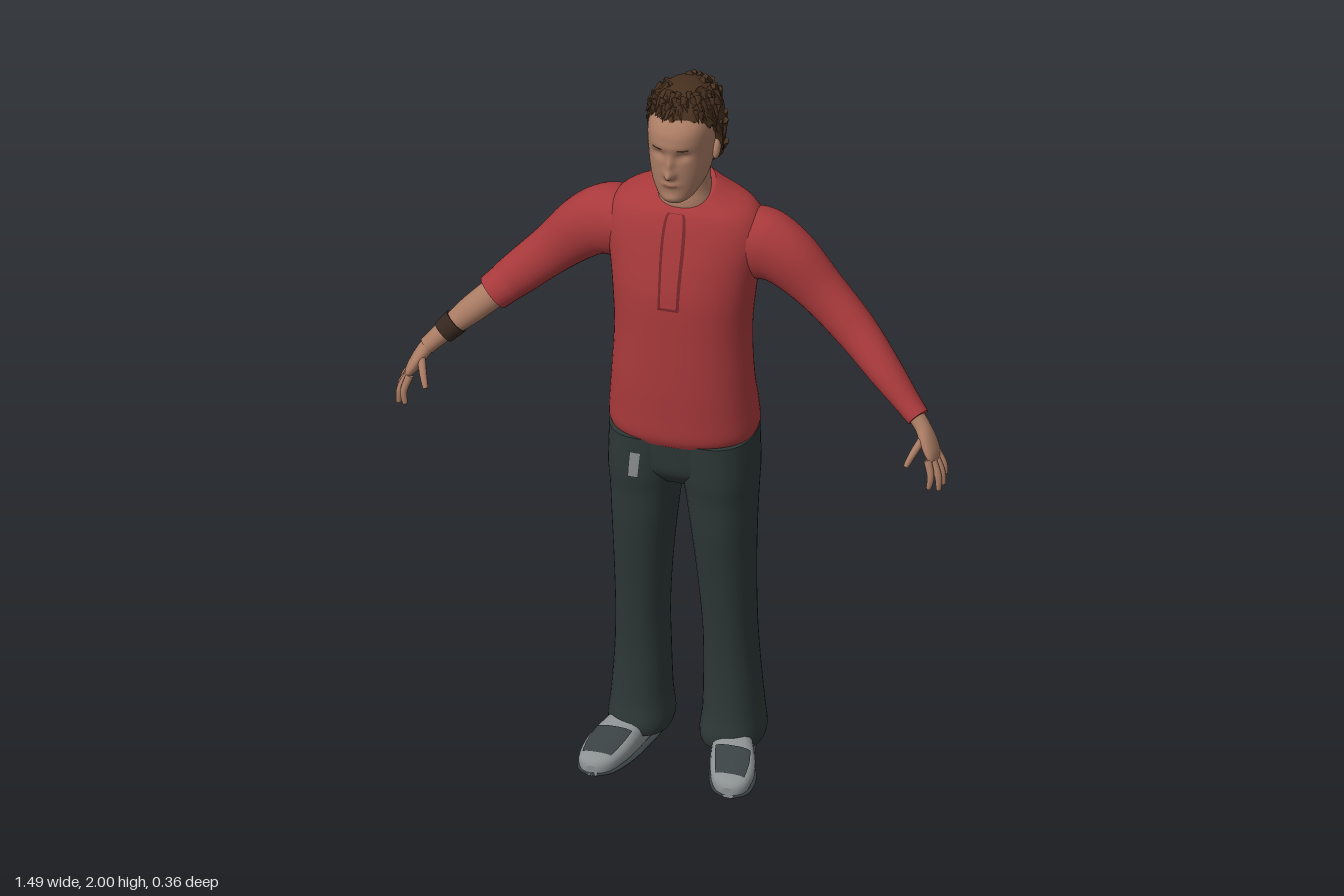
import * as THREE from 'three';
import { mergeGeometries } from 'three/addons/utils/BufferGeometryUtils.js';

const V = (x, y, z) => new THREE.Vector3(x, y, z);
const paint = (name, color) => {
  const m = new THREE.MeshStandardMaterial({ color });
  m.name = name;
  m.side = THREE.DoubleSide;
  return m;
};

// smooth interpolation of number rows at index t
function at(rows, t) {
  const last = rows.length - 1, i = Math.min(Math.floor(t), last - 1), f = t - i;
  const [a, b, c, d] = [rows[Math.max(i - 1, 0)], rows[i], rows[i + 1], rows[Math.min(i + 2, last)]];
  return b.map((p, k) => p + 0.5 * f * (c[k] - a[k] + f * (2 * a[k] - 5 * p + 4 * c[k] - d[k] + f * (3 * (p - c[k]) + d[k] - a[k]))));
}

// index at which the first column reaches a value
function find(rows, value) {
  for (let i = 0; i < rows.length - 1; i++) {
    const a = rows[i][0], b = rows[i + 1][0];
    if ((value - a) * (value - b) <= 0) return i + (value - a) / (b - a);
  }
  return value < rows[0][0] ? 0 : rows.length - 1;
}

// surface over rings of points: closed rings get caps, open ones stay a thin plate
function surface(point, rings, seg, closed = true) {
  const pos = [], idx = [], w = closed ? seg : seg + 1;
  for (let i = 0; i <= rings; i++) for (let j = 0; j < w; j++) pos.push(...point(i / rings, j / seg).toArray());
  for (let i = 0; i < rings; i++) for (let j = 0; j < seg; j++) {
    const a = i * w + j, b = i * w + (j + 1) % w;
    idx.push(a, b, b + w, a, b + w, a + w);
  }
  if (closed) for (const end of [0, 1]) {
    const base = pos.length / 3, mid = V(0, 0, 0);
    for (let j = 0; j < seg; j++) {
      const p = point(end, j / seg);
      pos.push(...p.toArray());
      mid.addScaledVector(p, 1 / seg);
    }
    pos.push(...mid.toArray());
    for (let j = 0; j < seg; j++) {
      const k = base + (j + 1) % seg;
      idx.push(base + seg, end ? base + j : k, end ? k : base + j);
    }
  }
  const g = new THREE.BufferGeometry();
  g.setAttribute('position', new THREE.Float32BufferAttribute(pos, 3));
  g.setIndex(idx);
  g.computeVertexNormals();
  return g;
}

const squircle = (a, n) => Math.pow(Math.abs(Math.cos(a)) ** n + Math.abs(Math.sin(a)) ** n, -1 / n);

// upright body part; rows are [y, xMin, xMax, zFront, zBack, backward rise]
function body(rows, { n = 2.3, seg = 40, lo, hi, angles, grow = 0, step = 5 } = {}) {
  const t0 = lo === undefined ? 0 : find(rows, lo), t1 = hi === undefined ? rows.length - 1 : find(rows, hi);
  const [a0, a1] = angles || [0, Math.PI * 2];
  return surface((u, v) => {
    const [y, x0, x1, zf, zb, rise = 0] = at(rows, t0 + (t1 - t0) * u);
    const a = a0 + (a1 - a0) * v, r = squircle(a, n), c = Math.cos(a) * r, s = Math.sin(a) * r;
    return V((x0 + x1) / 2 + s * ((x1 - x0) / 2 + grow), y - c * rise, (zf + zb) / 2 + c * ((zf - zb) / 2 + grow));
  }, angles ? 16 : Math.ceil((t1 - t0) * step), angles ? 10 : seg, !angles);
}

// limb along a path; rows are [x, y, z, thickness, width]
function limb(rows, side = 1, seg = 20) {
  const end = rows.length - 1;
  return surface((u, v) => {
    const t = u * end, row = at(rows, t);
    const p = at(rows, Math.max(t - 0.05, 0)), q = at(rows, Math.min(t + 0.05, end));
    const dir = V(side * (q[0] - p[0]), q[1] - p[1], q[2] - p[2]).normalize();
    const wide = V(0, 0, 1).addScaledVector(dir, -dir.z).normalize(), thick = wide.clone().cross(dir), a = v * Math.PI * 2;
    return V(side * row[0], row[1], row[2]).addScaledVector(thick, row[3] * Math.cos(a)).addScaledVector(wide, row[4] * Math.sin(a));
  }, end * 5, seg);
}

// shoe from heel to toe; rows are [z, x, half width, height]
function shoe(rows, side, { lo = -1, hi = 1, angles, grow = 0, height } = {}) {
  const t0 = find(rows, lo), t1 = find(rows, hi), [a0, a1] = angles || [0, Math.PI * 2];
  return surface((u, v) => {
    const [z, x, w, h0] = at(rows, t0 + (t1 - t0) * u), h = height || h0;
    const a = a0 + (a1 - a0) * v, r = squircle(a, 3);
    return V(side * x + Math.cos(a) * r * (w + grow), h / 2 + Math.sin(a) * r * (h / 2 + (height ? 0 : grow)), z);
  }, 30, 24, !angles);
}

const sym = rows => rows.map(([y, w, f, b, rise = 0]) => [y, -w, w, f, b, rise]);
const TORSO = sym([[0.972, 0.187, 0.097, -0.163], [1.0, 0.197, 0.108, -0.175], [1.06, 0.194, 0.11, -0.168],
  [1.15, 0.186, 0.112, -0.152], [1.28, 0.18, 0.11, -0.156], [1.4, 0.188, 0.106, -0.17], [1.48, 0.2, 0.092, -0.18],
  [1.55, 0.213, 0.073, -0.178], [1.6, 0.205, 0.057, -0.17], [1.64, 0.175, 0.043, -0.155, 0.008],
  [1.665, 0.115, 0.034, -0.135, 0.02], [1.682, 0.076, 0.028, -0.118, 0.032]]);
const PELVIS = sym([[0.84, 0.1, 0.05, -0.1], [0.88, 0.17, 0.082, -0.145], [0.93, 0.19, 0.09, -0.155], [0.99, 0.188, 0.095, -0.16]]);
const LEG = [[0.98, -0.02, 0.193, 0.095, -0.163], [0.87, 0, 0.196, 0.09, -0.155], [0.8, 0.012, 0.192, 0.08, -0.15],
  [0.7, 0.025, 0.188, 0.072, -0.14], [0.55, 0.04, 0.185, 0.052, -0.13], [0.4, 0.05, 0.185, 0.035, -0.133],
  [0.28, 0.05, 0.19, 0.027, -0.14], [0.15, 0.047, 0.2, 0.03, -0.15], [0.08, 0.04, 0.207, 0.04, -0.158], [0.05, 0.045, 0.203, 0.036, -0.154]];
const ARM = [[0.12, 1.55, -0.06, 0.075, 0.09], [0.2, 1.532, -0.065, 0.098, 0.085], [0.27, 1.502, -0.062, 0.086, 0.07],
  [0.36, 1.418, -0.063, 0.067, 0.056], [0.46, 1.325, -0.045, 0.057, 0.052]];
const LONG_SLEEVE = [...ARM, [0.55, 1.245, -0.005, 0.045, 0.047], [0.62, 1.18, 0.025, 0.034, 0.036], [0.655, 1.15, 0.042, 0.03, 0.031]];
const SHORT_SLEEVE = [...ARM, [0.49, 1.298, -0.033, 0.052, 0.052], [0.515, 1.276, -0.022, 0.05, 0.05]];
const FOREARM = [[0.48, 1.305, -0.036, 0.04, 0.04], [0.56, 1.235, 0.0, 0.037, 0.037], [0.62, 1.18, 0.027, 0.028, 0.03], [0.67, 1.13, 0.05, 0.023, 0.027]];
const SHOE = [[-0.142, 0.115, 0.03, 0.07], [-0.12, 0.12, 0.045, 0.095], [-0.06, 0.13, 0.05, 0.1], [0, 0.142, 0.053, 0.1],
  [0.05, 0.157, 0.06, 0.085], [0.1, 0.17, 0.06, 0.068], [0.15, 0.18, 0.049, 0.052], [0.172, 0.183, 0.032, 0.042], [0.181, 0.184, 0.015, 0.03]];
const HEAD = sym([[1.692, 0.02, 0.07, 0.02], [1.7, 0.038, 0.082, -0.02], [1.715, 0.053, 0.086, -0.055], [1.745, 0.069, 0.09, -0.095],
  [1.785, 0.078, 0.094, -0.12], [1.83, 0.083, 0.095, -0.132], [1.88, 0.085, 0.1, -0.138], [1.91, 0.083, 0.092, -0.136],
  [1.935, 0.076, 0.066, -0.125], [1.965, 0.05, 0.02, -0.085], [1.975, 0.01, -0.02, -0.04]]);
const NECK = sym([[1.63, 0.078, 0.025, -0.11], [1.665, 0.072, 0.024, -0.11], [1.7, 0.064, 0.018, -0.105], [1.78, 0.062, 0.015, -0.115]]);

// nose, eye sockets, brow, lips and chin pushed out of or into the head
const FACE = [[0, 1.79, 0.013, 0.013, 0.026], [0, 1.818, 0.01, 0.024, 0.015], [-0.033, 1.843, 0.018, 0.012, -0.011],
  [0.033, 1.843, 0.018, 0.012, -0.011], [0, 1.87, 0.05, 0.012, 0.003], [0, 1.756, 0.022, 0.008, 0.007], [0, 1.713, 0.025, 0.012, 0.006]];
function sculpt(g) {
  const p = g.attributes.position;
  for (let i = 0; i < p.count; i++) if (p.getZ(i) > 0) {
    let z = p.getZ(i);
    for (const [x, y, w, h, d] of FACE) z += d * Math.exp(-(((p.getX(i) - x) / w) ** 2) - ((p.getY(i) - y) / h) ** 2);
    p.setZ(i, z);
  }
  g.computeVertexNormals();
  return g;
}

// hair: shell point at angle phi and height y, above a hairline by angle
const HAIRLINE = [[0, 1.932], [0.85, 1.918], [1.3, 1.885], [1.6, 1.81], [2, 1.765], [2.5, 1.728], [3.15, 1.722]];
const hairEdge = phi => at(HAIRLINE, find(HAIRLINE, Math.abs(phi)))[1];
function hairPoint(phi, y, k = 1) {
  const d = y - 1.86;
  const r = k * (d > 0 ? Math.pow(Math.max(1 - (d / 0.13) ** 2.5, 0), 0.4) : 1 - 9 * d * d);
  const wave = 1 + 0.025 * Math.sin(phi * 17 + 3 * Math.sin(phi * 5 + y * 30));
  return V(Math.sin(phi) * r * 0.1 * wave, y, -0.04 + Math.cos(phi) * r * 0.121 * wave);
}
function hairGeometry() {
  let seed = 7;
  const rnd = () => (seed = (seed * 16807) % 2147483647) / 2147483647;
  const parts = [surface((u, v) => {
    const phi = v * Math.PI * 2 - Math.PI, e = hairEdge(phi) + 0.008 * Math.sin(phi * 23);
    return hairPoint(phi, e + (1.99 - e) * Math.sin(Math.max(u - 0.04, 0) / 0.96 * Math.PI / 2), u === 0 ? 0.8 : 1);
  }, 25, 72)];
  // loose locks lying along the shell
  for (let i = 0; i < 130; i++) {
    const phi = (rnd() * 2 - 1) * Math.PI, e = hairEdge(phi), y = e + 0.012 + (1.965 - e) * rnd() ** 1.3;
    const p = hairPoint(phi, y), dir = hairPoint(phi + 0.2 * (rnd() - 0.5), y - 0.015).sub(p).normalize();
    dir.addScaledVector(V(Math.sin(phi), 0, Math.cos(phi)), 0.2).normalize();
    const lock = new THREE.ConeGeometry(0.008 + 0.004 * rnd(), 0.035 + 0.02 * rnd(), 5);
    lock.applyQuaternion(new THREE.Quaternion().setFromUnitVectors(V(0, 1, 0), dir));
    lock.translate(p.x, p.y, p.z);
    lock.deleteAttribute('uv');
    parts.push(lock);
  }
  return mergeGeometries(parts);
}

function handGeometry(side) {
  const parts = [limb([[0.65, 1.15, 0.04, 0.021, 0.024], [0.67, 1.128, 0.05, 0.02, 0.025], [0.688, 1.1, 0.062, 0.019, 0.035],
    [0.703, 1.072, 0.073, 0.016, 0.037], [0.711, 1.054, 0.079, 0.01, 0.032]], side)];
  const digits = [[[0.7, 1.065, 0.104], [0.712, 1.025, 0.116], [0.708, 0.992, 0.12]], [[0.708, 1.06, 0.087], [0.727, 1.02, 0.1], [0.73, 0.984, 0.104]],
    [[0.709, 1.06, 0.069], [0.73, 1.025, 0.08], [0.736, 0.992, 0.084]], [[0.707, 1.068, 0.052], [0.728, 1.037, 0.058], [0.735, 1.01, 0.061]],
    [[0.678, 1.11, 0.075], [0.662, 1.08, 0.11], [0.65, 1.053, 0.129]]];
  for (const [a, b, c] of digits) {
    const tip = c.map((v, k) => v + (c[k] - b[k]) * 0.12);
    parts.push(limb([[...a, 0.0105, 0.011], [...b, 0.0095, 0.01], [...c, 0.007, 0.007], [...tip, 0.002, 0.002]], side, 10));
  }
  return mergeGeometries(parts);
}

export function createModel() {
  const model = new THREE.Group();
  const red = paint('shirt red', 0xa8393b), seam = paint('seam red', 0x74262a), cloth = paint('trouser green grey', 0x2d3836);
  const skin = paint('skin', 0xa97b63), lip = paint('lips', 0x93604f), brown = paint('hair brown', 0x47301f);
  const grey = paint('shoe grey', 0x8c9192), dark = paint('sole grey', 0x3a4244), leather = paint('strap brown', 0x35271f);
  const add = (name, geometry, material) => {
    const m = new THREE.Mesh(geometry, material);
    m.name = name;
    model.add(m);
    return m;
  };

  // shirt with button placket
  add('shirtBody', body(TORSO, { seg: 56 }), red);
  add('placketEdge', body(TORSO, { lo: 1.385, hi: 1.655, angles: [-0.15, 0.15], grow: 0.003 }), seam);
  add('placket', body(TORSO, { lo: 1.395, hi: 1.655, angles: [-0.11, 0.11], grow: 0.006 }), red);
  add('leftSleeve', limb(LONG_SLEEVE, 1, 28), red);
  add('rightSleeve', limb(SHORT_SLEEVE, -1, 28), red);

  // arms and wristband
  add('rightForearm', limb(FOREARM, -1), skin);
  add('wristband', limb([[0.602, 1.197, 0.018, 0.036, 0.037], [0.632, 1.167, 0.033, 0.032, 0.034]], -1), leather);

  // trousers, hands and shoes
  add('trouserSeat', body(PELVIS, { n: 2.5 }), cloth);
  for (const [label, s] of [['left', 1], ['right', -1]]) {
    const leg = LEG.map(([y, i, o, f, b]) => s > 0 ? [y, i, o, f, b] : [y, -o, -i, f, b]).reverse();
    add(label + 'TrouserLeg', body(leg, { n: 2.4 }), cloth);
    if (s < 0) add('thighPatch', body(leg, { lo: 0.865, hi: 0.935, angles: [-0.15, 0.12], grow: 0.006 }), grey);
    add(label + 'Hand', handGeometry(s), skin);
    add(label + 'Shoe', shoe(SHOE, s), grey);
    add(label + 'Sole', shoe(SHOE, s, { height: 0.012, grow: 0.003 }), dark);
    add(label + 'ToePatch', shoe(SHOE, s, { lo: 0.06, hi: 0.15, angles: [Math.PI * 0.27, Math.PI * 0.73], grow: 0.003 }), dark);
    const ear = add(label + 'Ear', new THREE.SphereGeometry(1, 16, 12), skin);
    ear.scale.set(0.012, 0.029, 0.017);
    ear.position.set(s * 0.086, 1.815, -0.03);
    ear.rotation.set(-0.2, s * 0.3, 0);
    add(label + 'Brow', sculpt(body(HEAD, { lo: 1.862, hi: 1.867, angles: [s * 0.4 - 0.17, s * 0.4 + 0.17], grow: 0.002 })), brown);
  }

  // head
  add('neck', body(NECK), skin);
  add('head', sculpt(body(HEAD, { seg: 96, step: 8 })), skin);
  add('lips', sculpt(body(HEAD, { lo: 1.752, hi: 1.761, angles: [-0.26, 0.26], grow: 0.001 })), lip);
  add('hair', hairGeometry(), brown);
  return model;
}
